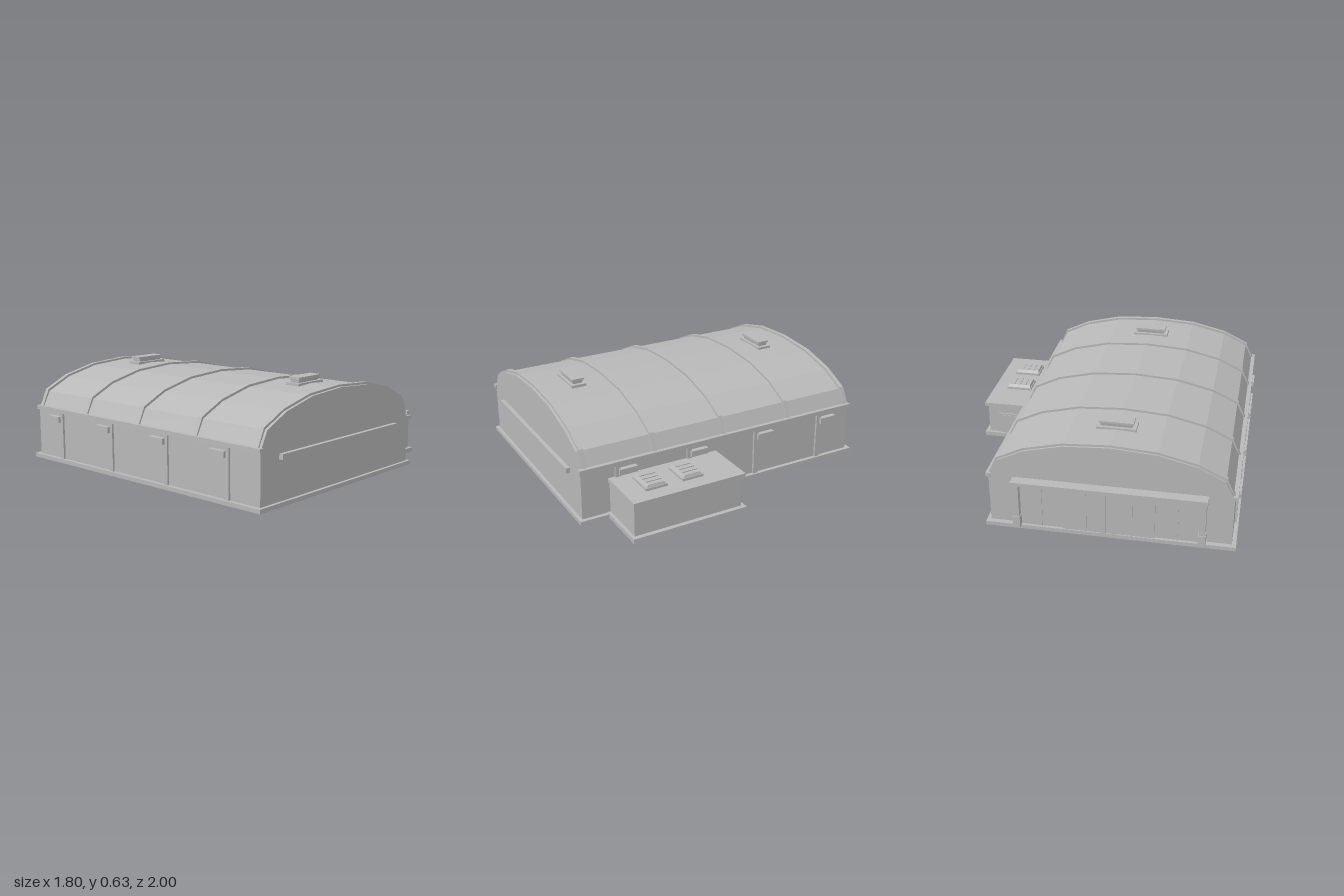
import * as THREE from 'three';

const grey = new THREE.MeshStandardMaterial({ color: 0xb8b8b8 });
grey.name = 'concrete grey';

const CX = -0.16; // centre line of the hall

export function createModel() {
  const model = new THREE.Group();
  model.name = 'hangar';

  const add = (name, geometry) => {
    const mesh = new THREE.Mesh(geometry, grey);
    mesh.name = name;
    model.add(mesh);
    return mesh;
  };

  // Box given by its limits on each axis
  const box = (name, x0, x1, y0, y1, z0, z1) => {
    const g = new THREE.BoxGeometry(x1 - x0, y1 - y0, z1 - z0);
    g.translate((x0 + x1) / 2, (y0 + y1) / 2, (z0 + z1) / 2);
    return add(name, g);
  };

  // Box whose top is scaled: hoods and skylights
  const frustum = (name, x, y0, z, w, h, d, sx, sz) => {
    const g = new THREE.BoxGeometry(w, h, d);
    const p = g.attributes.position;
    for (let i = 0; i < p.count; i++) {
      if (p.getY(i) > 0) p.setXYZ(i, p.getX(i) * sx, p.getY(i), p.getZ(i) * sz);
    }
    g.computeVertexNormals();
    g.translate(x, y0 + h / 2, z);
    return add(name, g);
  };

  // Arched slice from a half profile, mirrored about the centre line
  const arch = (name, half, bottom, z0, z1) => {
    const right = half.map(([x, y]) => new THREE.Vector2(CX + x, y));
    const left = half.slice(0, -1).reverse().map(([x, y]) => new THREE.Vector2(CX - x, y));
    const w = half[0][0];
    const shape = new THREE.Shape([
      new THREE.Vector2(CX - w, bottom), new THREE.Vector2(CX + w, bottom), ...right, ...left,
    ]);
    const g = new THREE.ExtrudeGeometry(shape, { depth: z1 - z0, bevelEnabled: false });
    g.translate(0, 0, z0);
    return add(name, g);
  };

  // Main hall
  box('plinth', -0.9, 0.58, 0, 0.025, -0.965, 0.99);
  arch('hall', [[0.715, 0.33], [0.66, 0.438], [0.5, 0.515], [0.27, 0.57], [0, 0.587]], 0.02, -0.935, 0.97);
  for (const z of [0.94, 0.49, 0.015, -0.462, -0.91]) {
    arch('roofRib', [[0.718, 0.34], [0.668, 0.45], [0.505, 0.528], [0.275, 0.583], [0, 0.6]], 0.33, z - 0.0135, z + 0.0135);
  }

  // Long sides: gutters, pilasters and wall lamps
  for (const s of [-1, 1]) {
    const side = (name, a, b, y0, y1, z0, z1) =>
      box(name, CX + Math.min(s * a, s * b), CX + Math.max(s * a, s * b), y0, y1, z0, z1);
    side('gutter', 0.7, 0.732, 0.322, 0.348, -0.94, 0.98);
    for (const z of [0.74, 0.263, -0.215, -0.695]) {
      side('pilaster', 0.7, 0.728, 0.02, 0.323, z - 0.016, z + 0.016);
      side('wallBox', 0.7, 0.745, 0.263, 0.3, z - 0.12, z - 0.005);
    }
  }

  // Front band
  box('frontBand', -0.72, 0.405, 0.262, 0.294, 0.96, 0.996);

  // Rear sliding doors: header, posts, leaves and stiffeners
  box('doorHeader', -0.73, 0.41, 0.312, 0.336, -1, -0.93);
  for (const s of [-1, 1]) {
    const x = CX + s * 0.545;
    box('doorPost', x - 0.018, x + 0.018, 0.02, 0.315, -0.985, -0.93);
    box('postGuard', x - 0.022, x + 0.022, 0.02, 0.095, -0.99, -0.93);
  }
  const edges = [-0.69, -0.43, CX, 0.11, 0.37];
  for (let i = 0; i < 4; i++) {
    const front = i === 1 || i === 2 ? -0.958 : -0.948;
    box('doorLeaf', edges[i], edges[i + 1], 0.025, 0.312, front, -0.93);
    const mid = (edges[i] + edges[i + 1]) / 2;
    box('doorSeam', mid - 0.004, mid + 0.004, 0.025, 0.312, front - 0.005, front);
  }
  for (const s of [-1, 1]) {
    box('doorStile', CX + s * 0.03 - 0.012, CX + s * 0.03 + 0.012, 0.025, 0.312, -0.968, -0.93);
  }

  // Ridge ventilators
  for (const z of [0.702, -0.67]) {
    box('ridgeVentBase', CX - 0.118, CX + 0.118, 0.57, 0.596, z - 0.048, z + 0.048);
    frustum('ridgeVentBody', CX, 0.59, z, 0.185, 0.028, 0.056, 1.03, 1.2);
    box('ridgeVentCap', CX - 0.102, CX + 0.102, 0.617, 0.629, z - 0.039, z + 0.039);
  }

  // Side annex
  box('annexPlinth', 0.55, 0.9, 0, 0.028, 0.063, 0.81);
  box('annexWalls', 0.54, 0.872, 0.02, 0.23, 0.085, 0.79);
  box('annexRoof', 0.55, 0.893, 0.225, 0.25, 0.073, 0.8);
  box('annexDoorFrame', 0.64, 0.8, 0.028, 0.175, 0.077, 0.09);
  box('annexDoor', 0.655, 0.785, 0.028, 0.162, 0.074, 0.08);

  // Annex skylights with slats
  for (const z of [0.372, 0.608]) {
    box('skylightCurb', 0.63, 0.8, 0.25, 0.265, z - 0.069, z + 0.069);
    frustum('skylightHood', 0.715, 0.265, z, 0.16, 0.016, 0.126, 0.93, 0.8);
    for (const x of [0.675, 0.715, 0.755]) {
      box('skylightSlat', x - 0.005, x + 0.005, 0.278, 0.286, z - 0.05, z + 0.05);
    }
  }

  return model;
}
